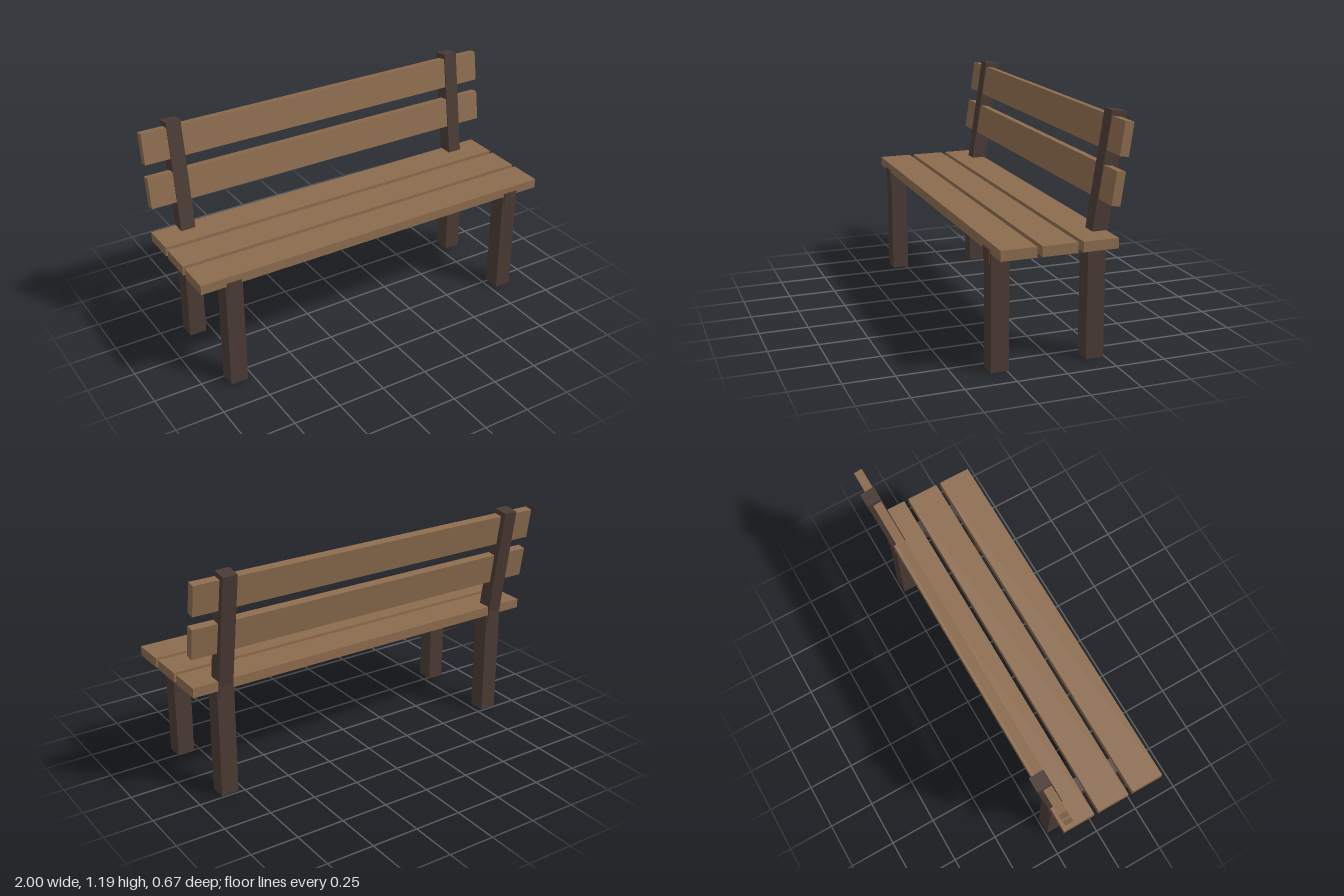
import * as THREE from 'three';

export function createModel() {
  const bench = new THREE.Group();
  bench.name = 'bench';
  const wood = new THREE.MeshStandardMaterial({ color: 0x8b6b4d });
  wood.name = 'warm wood';
  const frame = new THREE.MeshStandardMaterial({ color: 0x4a3a34 });
  frame.name = 'dark brown frame';

  const TILT = -0.15; // backrest leans towards -z

  function addBox(name, material, size, position, tilt = 0) {
    const mesh = new THREE.Mesh(new THREE.BoxGeometry(...size), material);
    mesh.name = name;
    mesh.position.set(...position);
    mesh.rotation.x = tilt;
    bench.add(mesh);
  }

  // Seat slats, front to back
  for (const z of [0.244, 0.045, -0.155]) {
    addBox('seatSlat', wood, [2, 0.05, 0.175], [0, 0.602, z]);
  }

  // Backrest slats, set into the leaning posts
  for (const [y, z] of [[0.856, -0.234], [1.082, -0.269]]) {
    addBox('backSlat', wood, [2, 0.16, 0.045], [0, y, z], TILT);
  }

  // Side frames: legs, seat rail and back post
  for (const [side, s] of [['left', 1], ['right', -1]]) {
    const x = s * 0.828;
    addBox(side + 'FrontLeg', frame, [0.092, 0.58, 0.09], [x, 0.29, 0.286]);
    addBox(side + 'BackLeg', frame, [0.092, 0.58, 0.09], [x, 0.29, -0.195]);
    addBox(side + 'SeatRail', frame, [0.077, 0.067, 0.587], [x, 0.562, 0.045]);
    addBox(side + 'BackPost', frame, [0.077, 0.63, 0.078], [x, 0.874, -0.249], TILT);
  }
  return bench;
}
